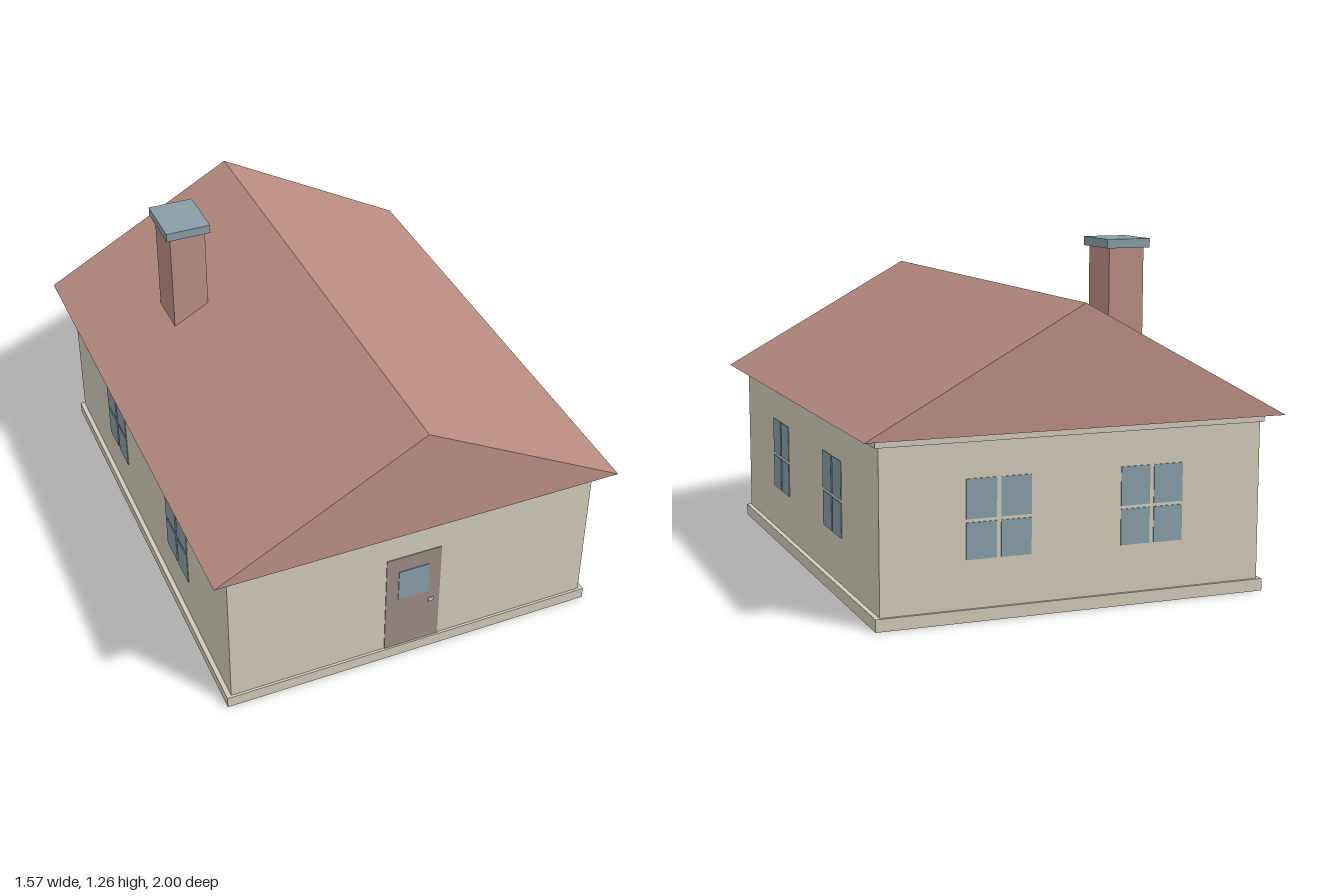
import * as THREE from 'three';

export function createModel() {
  const house = new THREE.Group();
  house.name = 'house';

  const paint = (name, color) => {
    const m = new THREE.MeshStandardMaterial({ color });
    m.name = name;
    return m;
  };
  const cream = paint('cream plaster', 0xd0c9b9);
  const brick = paint('terracotta', 0xb98d81);
  const blue = paint('slate blue', 0x879da6);
  const brown = paint('door brown', 0x9b8a82);

  // Box given by its lower and upper corners
  function box(name, material, lo, hi, parent = house) {
    const size = hi.map((v, i) => v - lo[i]);
    const mesh = new THREE.Mesh(new THREE.BoxGeometry(...size), material);
    mesh.position.set(...hi.map((v, i) => (v + lo[i]) / 2));
    mesh.name = name;
    parent.add(mesh);
    return mesh;
  }

  // Body: plinth, walls and the trim below the eaves
  box('plinth', cream, [-0.738, 0, -0.945], [0.738, 0.045, 0.945]);
  box('walls', cream, [-0.72, 0.045, -0.935], [0.72, 0.627, 0.935]);
  box('eavesTrim', cream, [-0.734, 0.627, -0.944], [0.734, 0.657, 0.944]);

  // Gable roof: a triangle drawn out along z
  const gable = new THREE.Shape([
    new THREE.Vector2(-0.787, 0.657),
    new THREE.Vector2(0.787, 0.657),
    new THREE.Vector2(0, 1.088),
  ]);
  const roofGeometry = new THREE.ExtrudeGeometry(gable, { depth: 2, bevelEnabled: false });
  roofGeometry.translate(0, 0, -1);
  const roof = new THREE.Mesh(roofGeometry, brick);
  roof.name = 'roof';
  house.add(roof);

  // Chimney with its cap
  box('chimney', brick, [-0.478, 0.75, -0.462], [-0.337, 1.23, -0.283]);
  box('chimneyCap', blue, [-0.495, 1.23, -0.48], [-0.32, 1.264, -0.268]);

  // Four-pane window facing +z, turned to suit its wall
  function addWindow(name, x, z, turn) {
    const win = new THREE.Group();
    win.name = name;
    for (const sx of [-1, 1]) {
      const x0 = sx < 0 ? -0.12 : 0.008;
      for (const [y0, y1] of [[0.218, 0.348], [0.36, 0.5]]) {
        box('pane', blue, [x0, y0, -0.002], [x0 + 0.112, y1, 0.003], win);
      }
    }
    win.position.set(x, 0, z);
    win.rotation.y = turn;
    house.add(win);
  }
  for (const s of [-1, 1]) {
    addWindow('leftWindow', 0.72, s * 0.373, Math.PI / 2);
    addWindow('rightWindow', -0.72, s * 0.373, -Math.PI / 2);
    addWindow('backWindow', s * 0.29, -0.935, Math.PI);
  }

  // Front door with a glazed light and a handle
  box('door', brown, [-0.11, 0.045, 0.933], [0.109, 0.487, 0.938]);
  box('doorGlass', blue, [-0.061, 0.285, 0.936], [0.06, 0.42, 0.941]);
  box('doorHandle', cream, [0.063, 0.229, 0.936], [0.083, 0.246, 0.942]);

  return house;
}
